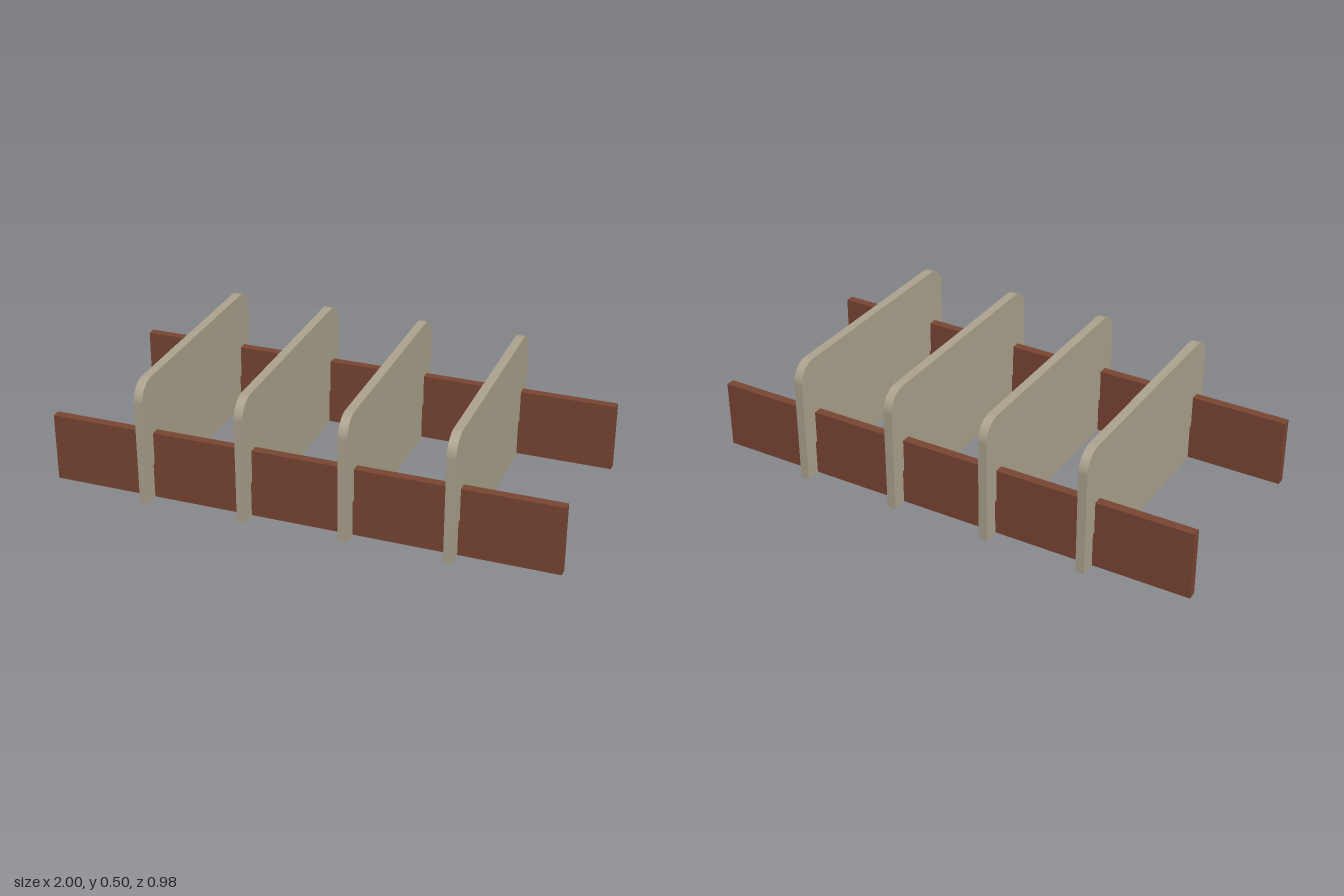
import * as THREE from 'three';

const THICK = 0.035;       // board thickness
const SLOT = 0.042;        // slot width, slightly looser than the boards
const HALF = 0.1375;       // height at which the boards interlock
const PANEL_X = [-0.6, -0.2, 0.2, 0.6];
const RAIL_Z = [-0.41, 0.41];

// Extrude an outline to board thickness, centred on its own plane
function board(shape) {
  const geometry = new THREE.ExtrudeGeometry(shape, {
    depth: THICK, bevelEnabled: false, curveSegments: 12,
  });
  return geometry.translate(0, 0, -THICK / 2);
}

// Long rail with slots cut down from its top edge
function railShape() {
  const height = 0.273;
  const s = new THREE.Shape();
  s.moveTo(-1, 0);
  s.lineTo(1, 0);
  s.lineTo(1, height);
  for (const x of [...PANEL_X].reverse()) {
    s.lineTo(x + SLOT / 2, height);
    s.lineTo(x + SLOT / 2, HALF);
    s.lineTo(x - SLOT / 2, HALF);
    s.lineTo(x - SLOT / 2, height);
  }
  s.lineTo(-1, height);
  s.closePath();
  return s;
}

// Upright divider with rounded top corners and slots cut up from its bottom edge
function panelShape() {
  const w = 0.491, h = 0.5, r = 0.08;
  const s = new THREE.Shape();
  s.moveTo(-w, 0);
  for (const z of RAIL_Z) {
    s.lineTo(z - SLOT / 2, 0);
    s.lineTo(z - SLOT / 2, HALF + 0.002);
    s.lineTo(z + SLOT / 2, HALF + 0.002);
    s.lineTo(z + SLOT / 2, 0);
  }
  s.lineTo(w, 0);
  s.lineTo(w, h - r);
  s.absarc(w - r, h - r, r, 0, Math.PI / 2, false);
  s.lineTo(-w + r, h);
  s.absarc(-w + r, h - r, r, Math.PI / 2, Math.PI, false);
  s.closePath();
  return s;
}

export function createModel() {
  const group = new THREE.Group();
  group.name = 'slottedRack';

  const railMaterial = new THREE.MeshStandardMaterial({ color: 0x7a4634 });
  railMaterial.name = 'reddish brown';
  const panelMaterial = new THREE.MeshStandardMaterial({ color: 0xada48f });
  panelMaterial.name = 'warm grey';

  // Front and back rails
  const railGeometry = board(railShape());
  for (const z of RAIL_Z) {
    const rail = new THREE.Mesh(railGeometry, railMaterial);
    rail.name = z > 0 ? 'frontRail' : 'backRail';
    rail.position.z = z;
    group.add(rail);
  }

  // Four dividers standing across the rails
  const panelGeometry = board(panelShape()).rotateY(-Math.PI / 2);
  PANEL_X.forEach((x, i) => {
    const panel = new THREE.Mesh(panelGeometry, panelMaterial);
    panel.name = `divider${i + 1}`;
    panel.position.x = x;
    group.add(panel);
  });

  return group;
}
